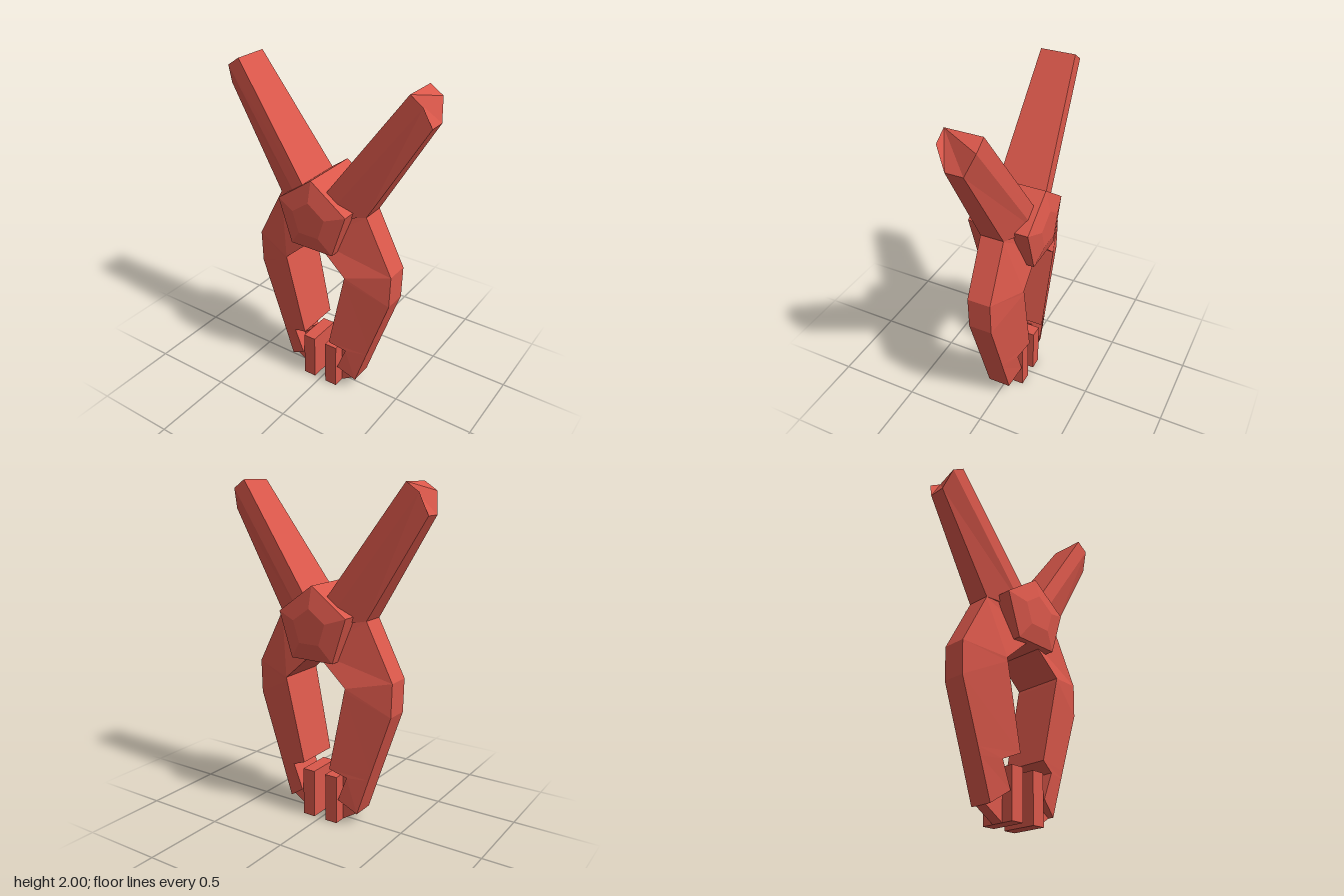
import * as THREE from 'three';

const red = new THREE.MeshStandardMaterial({ color: 0xd9574a, flatShading: true });
red.name = 'red';

// Skins a list of rings with flat faces and closes both ends.
function loft(name, rings) {
  const pos = [];
  const tri = (a, b, c) => pos.push(...a, ...b, ...c);
  const n = rings[0].length;
  for (let k = 0; k < rings.length - 1; k++) {
    const a = rings[k], b = rings[k + 1];
    for (let i = 0; i < n; i++) {
      const j = (i + 1) % n;
      tri(a[i], b[i], b[j]);
      tri(a[i], b[j], a[j]);
    }
  }
  const first = rings[0], last = rings[rings.length - 1];
  for (let i = 1; i < n - 1; i++) {
    tri(first[0], first[i], first[i + 1]);
    tri(last[0], last[i + 1], last[i]);
  }
  const geo = new THREE.BufferGeometry();
  geo.setAttribute('position', new THREE.Float32BufferAttribute(pos, 3));
  geo.computeVertexNormals();
  const mesh = new THREE.Mesh(geo, red);
  mesh.name = name;
  return mesh;
}

// Turns front-half points [x, y, halfDepth] (inner to outer) into a full ring.
function section(points, side) {
  const front = points.map(([x, y, z]) => [x * side, y, z]);
  const back = points.map(([x, y, z]) => [x * side, y, -z]).reverse();
  const ring = [...front, ...back];
  return side < 0 ? ring.reverse() : ring;
}

// Handle: wide inner face, bevelled towards a narrow outer edge.
const HANDLE = [
  [[0.53, 2.0, 0.104], [0.605, 1.95, 0.104], [0.635, 1.83, 0.05]],
  [[0, 1.265, 0.156], [0.065, 1.21, 0.156], [0.29, 1.25, 0.07]],
];

// Jaw: pairs of inner and outer points from the pivot down to the tip.
const JAW = [
  [[0, 1.2, 0.14], [0.29, 1.253, 0.07]],
  [[0, 1.055, 0.15], [0.291, 1.247, 0.07]],
  [[0.205, 0.87, 0.153], [0.46, 0.92, 0.07]],
  [[0.2, 0.85, 0.153], [0.455, 0.72, 0.07]],
  [[0.09, 0.355, 0.14], [0.332, 0.355, 0.07]],
  [[0.19, 0.31, 0.108], [0.317, 0.31, 0.07]],
  [[0.13, 0.155, 0.106], [0.24, 0.077, 0.07]],
];

// Narrow web that joins the pad to the jaw.
const WEB = [
  [[0.1, 0.295, 0.035], [0.12, 0.295, 0.035]],
  [[0.1, 0.255, 0.035], [0.168, 0.255, 0.035]],
  [[0.1, 0.08, 0.035], [0.24, 0.077, 0.035]],
  [[0.1, 0, 0.035], [0.12, 0, 0.035]],
];

export function createModel() {
  const model = new THREE.Group();
  model.name = 'clamp';

  for (const [label, side] of [['left', 1], ['right', -1]]) {
    const arm = new THREE.Group();
    arm.name = label + 'Arm';
    const build = (name, profile) => arm.add(loft(name, profile.map((p) => section(p, side))));
    build('handle', HANDLE);
    build('jaw', JAW);
    build('padWeb', WEB);

    const pad = new THREE.Mesh(new THREE.BoxGeometry(0.08, 0.296, 0.215), red);
    pad.name = 'gripPad';
    pad.position.set(0.08 * side, 0.148, 0);
    arm.add(pad);
    model.add(arm);
  }

  // Five-sided pivot with bevelled ends
  const pentagon = (r, z) => Array.from({ length: 5 }, (_, i) => {
    const a = Math.PI / 2 + (i * Math.PI * 2) / 5;
    return [r * Math.cos(a), 1.2 + r * Math.sin(a), z];
  });
  model.add(loft('pivot', [
    pentagon(0.112, 0.212), pentagon(0.236, 0.182),
    pentagon(0.236, -0.182), pentagon(0.112, -0.212),
  ]));
  return model;
}
